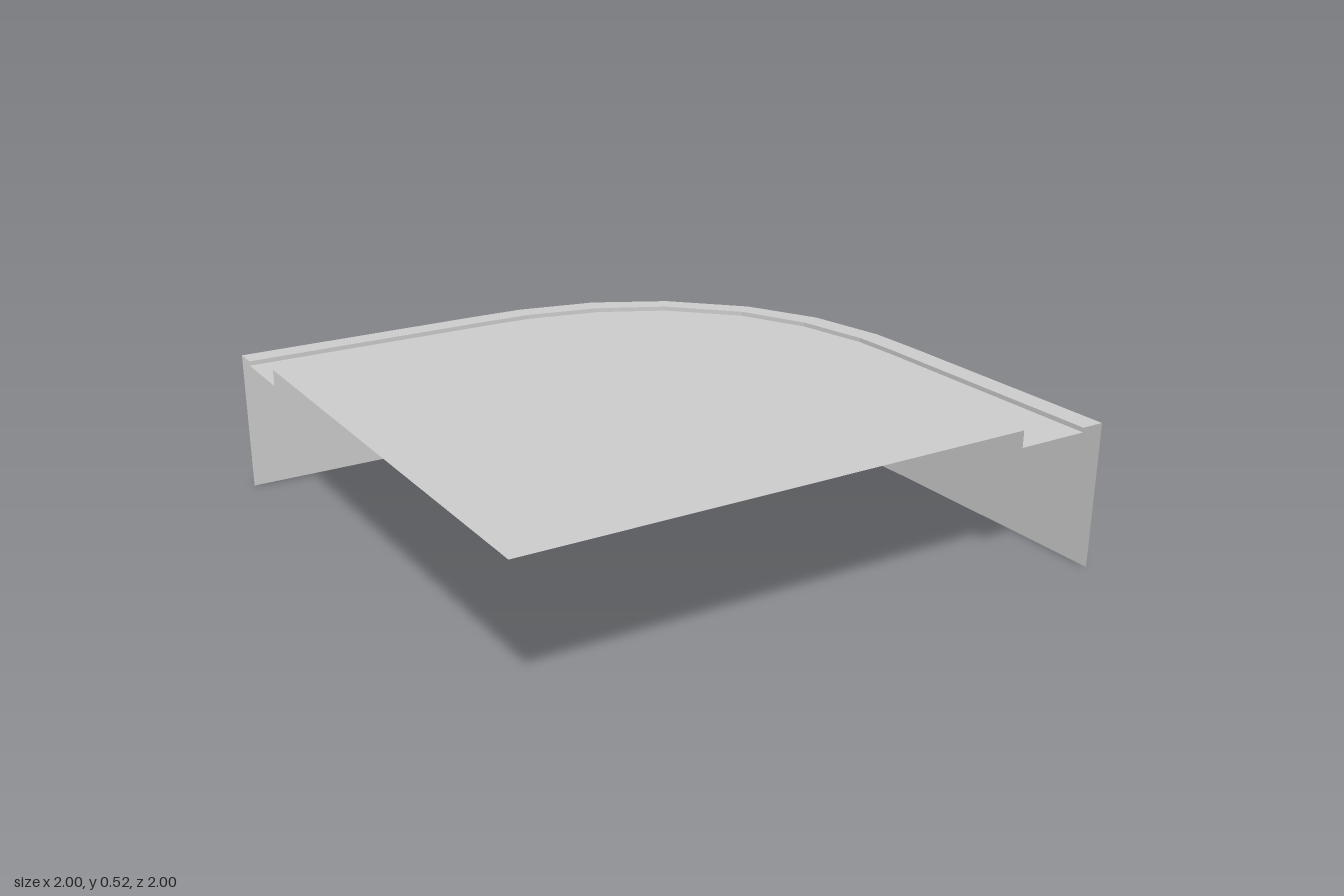
import * as THREE from 'three';

const material = new THREE.MeshStandardMaterial({ color: 0xcccccc, flatShading: true, side: THREE.DoubleSide });

// The corner is symmetric about its diagonal: half a rail is given as [x, z], the rest mirrored.
function rail(half) {
  return [...half, ...half.map(([x, z]) => [-z, -x]).reverse()];
}

const outer = rail([[-1, -1], [-0.13, -1], [0.06, -0.995], [0.335, -0.938], [0.585, -0.807]]);
const lip = rail([[-1, -0.922], [-0.12, -0.922], [0.055, -0.917], [0.31, -0.862], [0.54, -0.747]]);
const inner = rail([[-1, -0.677], [-0.12, -0.677], [0.02, -0.677], [0.23, -0.636], [0.41, -0.545]]);

// Ribbon between rail a at height ya and rail b at height yb
function band(name, a, ya, b, yb) {
  const positions = [];
  const index = [];
  a.forEach(([x, z], i) => {
    positions.push(x, ya, z, b[i][0], yb, b[i][1]);
    if (i > 0) {
      const k = 2 * i;
      index.push(k - 2, k - 1, k, k, k - 1, k + 1);
    }
  });
  const geometry = new THREE.BufferGeometry();
  geometry.setAttribute('position', new THREE.Float32BufferAttribute(positions, 3));
  geometry.setIndex(index);
  geometry.computeVertexNormals();
  const mesh = new THREE.Mesh(geometry, material);
  mesh.name = name;
  return mesh;
}

export function createModel() {
  const group = new THREE.Group();
  group.name = 'roundedCornerPlatform';

  // Heights
  const top = 0.52, rim = 0.48, gutter = 0.465, flange = 0.4;

  // Raised floor slab with one rounded corner
  const outline = [...inner, [-1, 1]].map(([x, z]) => new THREE.Vector2(x, -z));
  const floor = new THREE.Mesh(
    new THREE.ShapeGeometry(new THREE.Shape(outline)).rotateX(-Math.PI / 2).translate(0, top, 0),
    material
  );
  floor.name = 'floor';

  group.add(
    floor,
    band('outerWall', outer, rim, outer, 0),
    band('rim', outer, rim, lip, rim),
    band('rimFlange', lip, flange, lip, rim),
    band('gutter', lip, gutter, inner, gutter),
    band('floorRiser', inner, top, inner, gutter)
  );
  // Winding: ribbons face up or outward
  return group;
}
